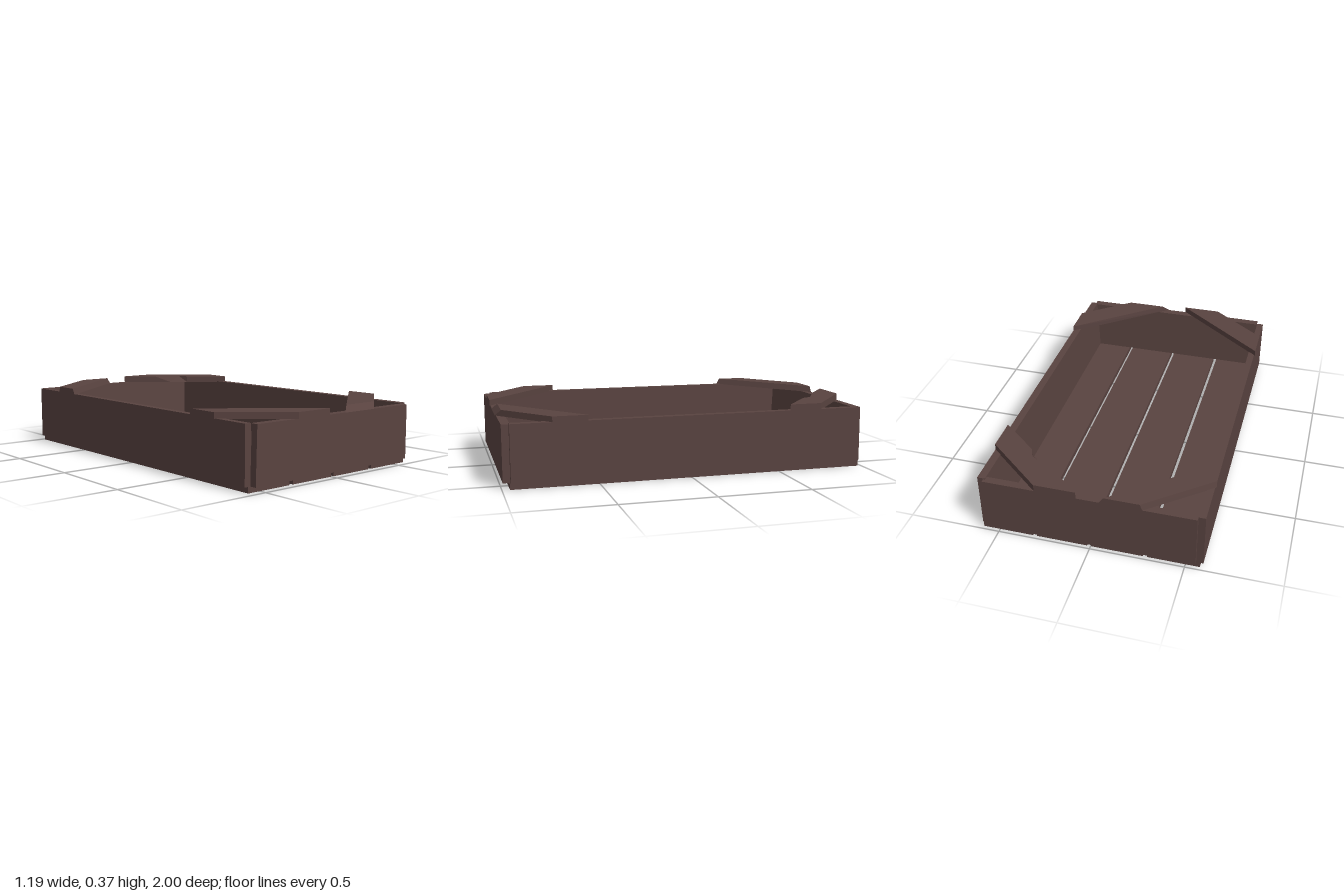
import * as THREE from 'three';

const wood = new THREE.MeshStandardMaterial({ color: 0x594340 });
wood.name = 'dark brown wood';

// Solid between two outlines of [x, z] points with matching corners
function plank(name, y0, y1, bottom, top = bottom) {
  const toVec = (p) => p.map(([x, z]) => new THREE.Vector2(x, z));
  let b = toVec(bottom), t = toVec(top);
  if (THREE.ShapeUtils.isClockWise(b)) { b = b.reverse(); t = t.reverse(); }
  const pos = [];
  const lo = (i) => pos.push(b[i].x, y0, b[i].y);
  const hi = (i) => pos.push(t[i].x, y1, t[i].y);
  for (const f of THREE.ShapeUtils.triangulateShape(b, [])) f.forEach(lo);
  for (const f of THREE.ShapeUtils.triangulateShape(t, [])) [f[0], f[2], f[1]].forEach(hi);
  for (let i = 0; i < b.length; i++) {
    const j = (i + 1) % b.length;
    lo(i); hi(j); lo(j);
    lo(i); hi(i); hi(j);
  }
  const geo = new THREE.BufferGeometry();
  geo.setAttribute('position', new THREE.Float32BufferAttribute(pos, 3));
  geo.computeVertexNormals();
  const mesh = new THREE.Mesh(geo, wood);
  mesh.name = name;
  return mesh;
}

const rect = (x0, x1, z0, z1) => [[x0, z0], [x1, z0], [x1, z1], [x0, z1]];

export function createModel() {
  const crate = new THREE.Group();
  crate.name = 'crate';

  // Four floor slats with narrow gaps
  for (let i = 0; i < 4; i++) {
    const x = -0.575 + i * 0.297;
    crate.add(plank('floorSlat', 0, 0.03, rect(x, x + 0.275, -0.98, 0.96)));
  }

  // Walls, slightly thicker at the foot on the inside
  crate.add(
    plank('rightWall', 0.03, 0.332, rect(-0.592, -0.54, -0.98, 0.955), rect(-0.592, -0.555, -0.98, 0.955)),
    plank('leftWall', 0.03, 0.335, rect(0.53, 0.594, -0.98, 0.955), rect(0.55, 0.592, -0.98, 0.955)),
    plank('frontWall', 0.03, 0.33, rect(-0.557, 0.565, 0.93, 0.993), rect(-0.55, 0.562, 0.947, 0.993)),
    plank('backWall', 0.03, 0.33, rect(-0.555, 0.565, -1, -0.937), rect(-0.555, 0.56, -1, -0.958)),
  );

  // Diagonal corner braces
  crate.add(plank('frontRightBrace', 0.33, 0.363,
    [[-0.598, 0.555], [-0.598, 0.74], [-0.28, 0.997], [-0.06, 0.997]]));

  // Bevelled end over the front wall
  crate.add(plank('frontLeftBrace', 0.33, 0.364,
    [[0.592, 0.555], [0.592, 0.74], [0.28, 0.997], [0.055, 0.997]],
    [[0.592, 0.555], [0.592, 0.74], [0.315, 0.968], [0.095, 0.968]]));

  // Worn long edges
  crate.add(plank('backRightBrace', 0.33, 0.364,
    [[-0.598, -0.56], [-0.598, -0.74], [-0.28, -1], [-0.06, -1]],
    [[-0.598, -0.578], [-0.598, -0.73], [-0.268, -1], [-0.082, -1]]));

  // Chipped inner edge
  crate.add(plank('backLeftBrace', 0.33, 0.368,
    [[0.06, -1], [0.22, -0.868], [0.3, -0.802], [0.39, -0.728], [0.592, -0.56], [0.592, -0.74], [0.28, -1]],
    [[0.06, -1], [0.22, -0.868], [0.365, -0.785], [0.39, -0.728], [0.592, -0.56], [0.592, -0.74], [0.28, -1]]));

  return crate;
}
